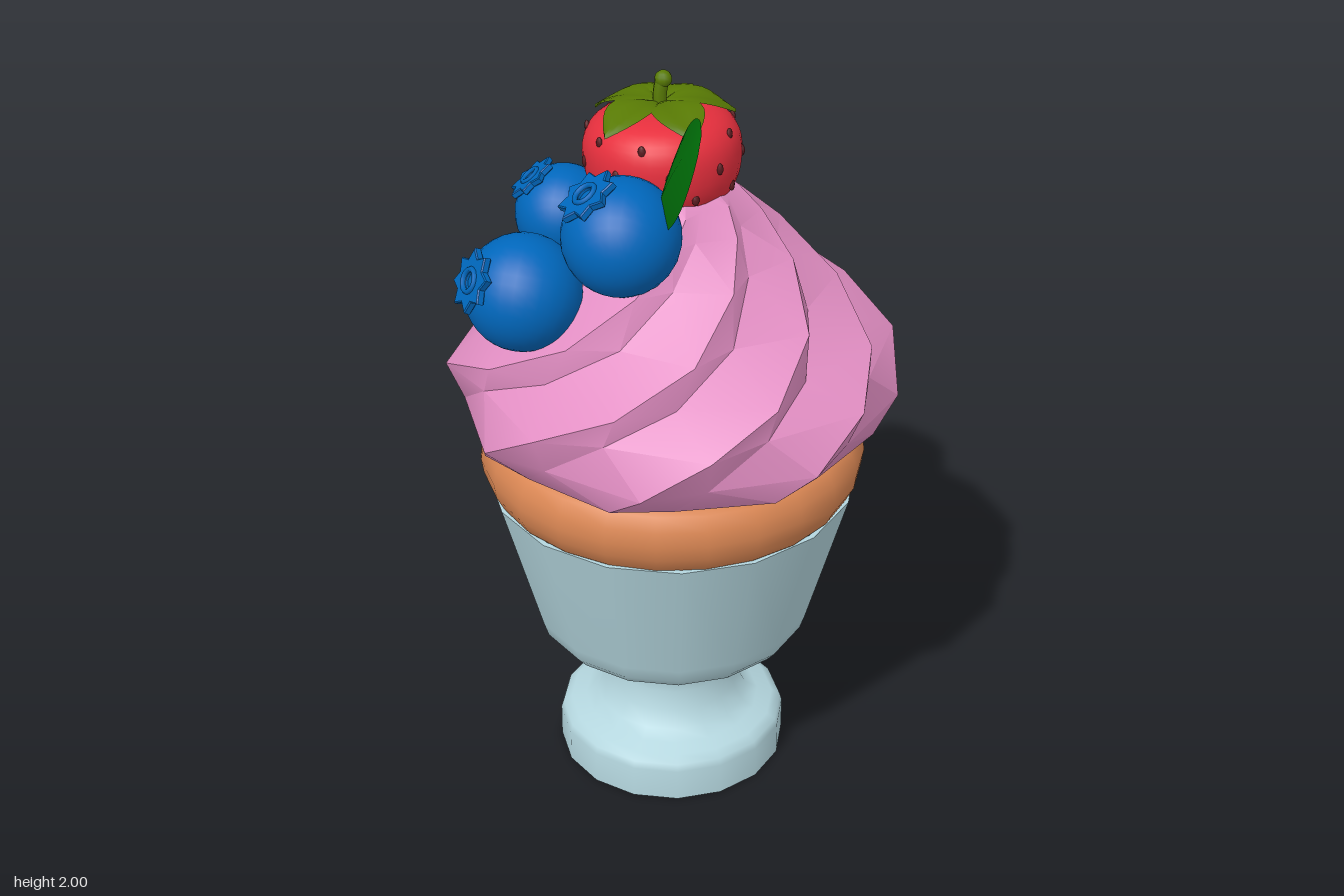
import * as THREE from 'three';
import { toCreasedNormals } from 'three/addons/utils/BufferGeometryUtils.js';

const mat = (name, color, extra = {}) => {
  const m = new THREE.MeshStandardMaterial({ color, ...extra });
  m.name = name;
  return m;
};

// Revolved profile with smooth sides and sharp corners
function lathe(points, sides) {
  const g = new THREE.LatheGeometry(points.map(([r, y]) => new THREE.Vector2(r, y)), sides);
  return toCreasedNormals(g, 0.8);
}

// Leaf-like blade: a plane whose points are placed by rule(u, t), u in -1..1, t in 0..1
function blade(rule, nu = 6, nt = 10) {
  const g = new THREE.PlaneGeometry(2, 1, nu, nt);
  const p = g.attributes.position;
  for (let i = 0; i < p.count; i++) {
    p.setXYZ(i, ...rule(p.getX(i), p.getY(i) + 0.5));
  }
  g.computeVertexNormals();
  return g;
}

// Swirled frosting: rings of ridges and grooves that twist as they rise
function frostingGeometry() {
  const rings = [ // y, ridge radius, groove factor, ridge angle in degrees
    [1.03, 0.465, 0.98, 4], [1.06, 0.53, 0.95, -3], [1.13, 0.578, 0.92, -12], [1.235, 0.575, 0.9, -29],
    [1.31, 0.515, 0.87, -49], [1.41, 0.42, 0.85, -72], [1.53, 0.31, 0.84, -93],
    [1.62, 0.222, 0.85, -110], [1.675, 0.165, 0.87, -121], [1.72, 0.09, 0.9, -130],
  ];
  const lobes = 8, n = lobes * 2, pos = [], idx = [];
  for (const [y, r, groove, angle] of rings) {
    for (let i = 0; i < n; i++) {
      const low = i % 2;
      const a = THREE.MathUtils.degToRad(angle + Math.floor(i / 2) * 45 + low * 28);
      const rr = low ? r * groove : r;
      pos.push(rr * Math.cos(a), y, rr * Math.sin(a));
    }
  }
  const bottom = pos.length / 3, top = bottom + 1, last = (rings.length - 1) * n;
  pos.push(0, 1.03, 0, 0, 1.74, 0);
  for (let i = 0; i < n; i++) {
    const k = (i + 1) % n;
    for (let j = 0; j < rings.length - 1; j++) {
      const a = j * n + i, b = j * n + k, c = a + n, d = b + n;
      idx.push(a, c, d, a, d, b);
    }
    idx.push(bottom, i, k, top, last + k, last + i);
  }
  const g = new THREE.BufferGeometry();
  g.setAttribute('position', new THREE.Float32BufferAttribute(pos, 3));
  g.setIndex(idx);
  return toCreasedNormals(g, 0.6);
}

// Eight-pointed crown with a hole in the middle
function crownGeometry() {
  const s = new THREE.Shape();
  for (let i = 0; i < 16; i++) {
    const a = (i / 16) * Math.PI * 2, r = i % 2 ? 0.054 : 0.076;
    s[i ? 'lineTo' : 'moveTo'](r * Math.cos(a), r * Math.sin(a));
  }
  s.closePath();
  s.holes.push(new THREE.Path().absarc(0, 0, 0.024, 0, Math.PI * 2, true));
  return new THREE.ExtrudeGeometry(s, {
    depth: 0.014, bevelEnabled: true, bevelSize: 0.003, bevelThickness: 0.003, bevelSegments: 1, curveSegments: 8,
  });
}

export function createModel() {
  const model = new THREE.Group();
  const glass = mat('pale blue dish', 0xb4d6de);
  const sponge = mat('golden cake', 0xd98653);
  const pink = mat('pink frosting', 0xe38fc4);
  const blue = mat('blueberry blue', 0x0067bc);
  const red = mat('strawberry red', 0xe62f3d);
  const seedBrown = mat('seed brown', 0x5a1c20);
  const olive = mat('olive calyx', 0x587a04, { side: THREE.DoubleSide });
  const green = mat('dark leaf green', 0x006a08, { side: THREE.DoubleSide });

  const add = (parent, name, geometry, material) => {
    const m = new THREE.Mesh(geometry, material);
    m.name = name;
    parent.add(m);
    return m;
  };

  // Dish, cake and frosting share one axis
  const cake = new THREE.Group();
  cake.name = 'cupcake';
  cake.position.set(0.01, 0, 0.01);
  model.add(cake);
  add(cake, 'dishFoot', lathe([[0, 0], [0.304, 0], [0.304, 0.09], [0.298, 0.11], [0.275, 0.125], [0.235, 0.135],
    [0.203, 0.155], [0.178, 0.2], [0.163, 0.25], [0.163, 0.285], [0.174, 0.325], [0.2, 0.36]], 16), glass);
  add(cake, 'dishBowl', lathe([[0, 0.358], [0.2, 0.36], [0.285, 0.38], [0.335, 0.405], [0.36, 0.435],
    [0.373, 0.475], [0.48, 0.86], [0.465, 0.86], [0.44, 0.8]], 16), glass);
  add(cake, 'cakeSponge', lathe([[0, 0.83], [0.44, 0.83], [0.472, 0.865], [0.492, 0.905], [0.498, 0.945],
    [0.492, 0.985], [0.472, 1.02], [0.44, 1.035], [0, 1.035]], 24), sponge);
  add(cake, 'frosting', frostingGeometry(), pink);

  // Blueberries: centre, radius, direction of the crown
  const berries = [
    [[-0.4, 1.495, 0.03], 0.146, [-0.9, 0.42, 0]],
    [[-0.19, 1.655, 0.147], 0.147, [-0.55, 0.8, -0.1]],
    [[-0.225, 1.605, -0.118], 0.122, [-0.55, 0.75, -0.3]],
  ];
  const crown = crownGeometry();
  for (const [centre, r, dir] of berries) {
    const berry = new THREE.Group();
    berry.name = 'blueberry';
    berry.position.set(...centre);
    berry.quaternion.setFromUnitVectors(new THREE.Vector3(0, 0, 1), new THREE.Vector3(...dir).normalize());
    add(berry, 'berryBody', new THREE.SphereGeometry(r, 28, 18), blue);
    const star = add(berry, 'berryCrown', crown, blue);
    star.scale.setScalar(r / 0.146);
    star.position.z = r * 0.93;
    const ring = add(berry, 'berryCrownRing', new THREE.TorusGeometry(r * 0.19, r * 0.05, 6, 16), blue);
    ring.position.z = r * 1.05;
    model.add(berry);
  }

  // Strawberry, sitting point down in the frosting
  const strawberry = new THREE.Group();
  strawberry.name = 'strawberry';
  strawberry.position.set(0.008, 1.77, -0.043);
  strawberry.rotation.x = -0.09;
  model.add(strawberry);
  const profile = new THREE.SplineCurve([[0, -0.16], [0.09, -0.15], [0.155, -0.122], [0.188, -0.068], [0.197, 0],
    [0.185, 0.05], [0.15, 0.085], [0.09, 0.102], [0, 0.104]].map(([r, y]) => new THREE.Vector2(r, y)));
  const outline = profile.getPoints(24);
  outline.forEach((p) => { p.x = Math.max(p.x, 0); });
  add(strawberry, 'strawberryBody', new THREE.LatheGeometry(outline, 32), red);

  // Seeds in staggered rows
  const seed = new THREE.SphereGeometry(1, 8, 6);
  [[0.184, -0.078], [0.196, -0.012], [0.182, 0.054]].forEach(([r, y], row) => {
    for (let i = 0; i < 9; i++) {
      const a = ((i + row * 0.5) / 9) * Math.PI * 2;
      const m = add(strawberry, 'strawberrySeed', seed, seedBrown);
      m.scale.set(0.01, 0.015, 0.007);
      m.position.set(r * Math.sin(a), y, r * Math.cos(a));
      m.rotation.y = a;
    }
  });

  // Calyx of five rounded, slightly folded leaves
  const petal = blade((u, t) => {
    const w = 0.066 * Math.pow(Math.sin(Math.PI * Math.pow(t, 1.15)), 0.9);
    const lift = 0.116 + 0.06 * t - 0.095 * t * t;
    return [u * w, lift + 0.014 * Math.abs(u) * Math.sin(Math.PI * t) - 0.01 * u * u, 0.185 * t];
  });
  for (let i = 0; i < 5; i++) {
    add(strawberry, 'calyxLeaf', petal, olive).rotation.y = (i / 5) * Math.PI * 2;
  }

  // Short stem
  const stemPath = new THREE.QuadraticBezierCurve3(
    new THREE.Vector3(0, 0.1, 0), new THREE.Vector3(-0.005, 0.14, 0), new THREE.Vector3(0.008, 0.178, 0.006));
  add(strawberry, 'strawberryStem', new THREE.TubeGeometry(stemPath, 6, 0.018, 8), olive);
  const tip = add(strawberry, 'stemTip', new THREE.SphereGeometry(0.022, 10, 8), olive);
  tip.position.set(0.008, 0.174, 0.006);

  // Upright leaf, folded along its midrib; two skins give it a little body
  for (const side of [-1, 1]) {
    add(model, 'mintLeaf', blade((u, t) => {
      const swell = Math.pow(Math.sin(Math.PI * t), 0.6);
      const across = u * swell * (u > 0 ? 0.097 : 0.117);
      const body = side * 0.012 * swell * (1 - u * u);
      return [
        -0.085 + swell * (-0.052 * u + 0.025 * Math.abs(u) - 0.015) + body,
        1.67 + 0.325 * t - 0.586 * across,
        0.13 + 0.235 * t + 0.81 * across,
      ];
    }, 8, 16), green);
  }
  return model;
}
